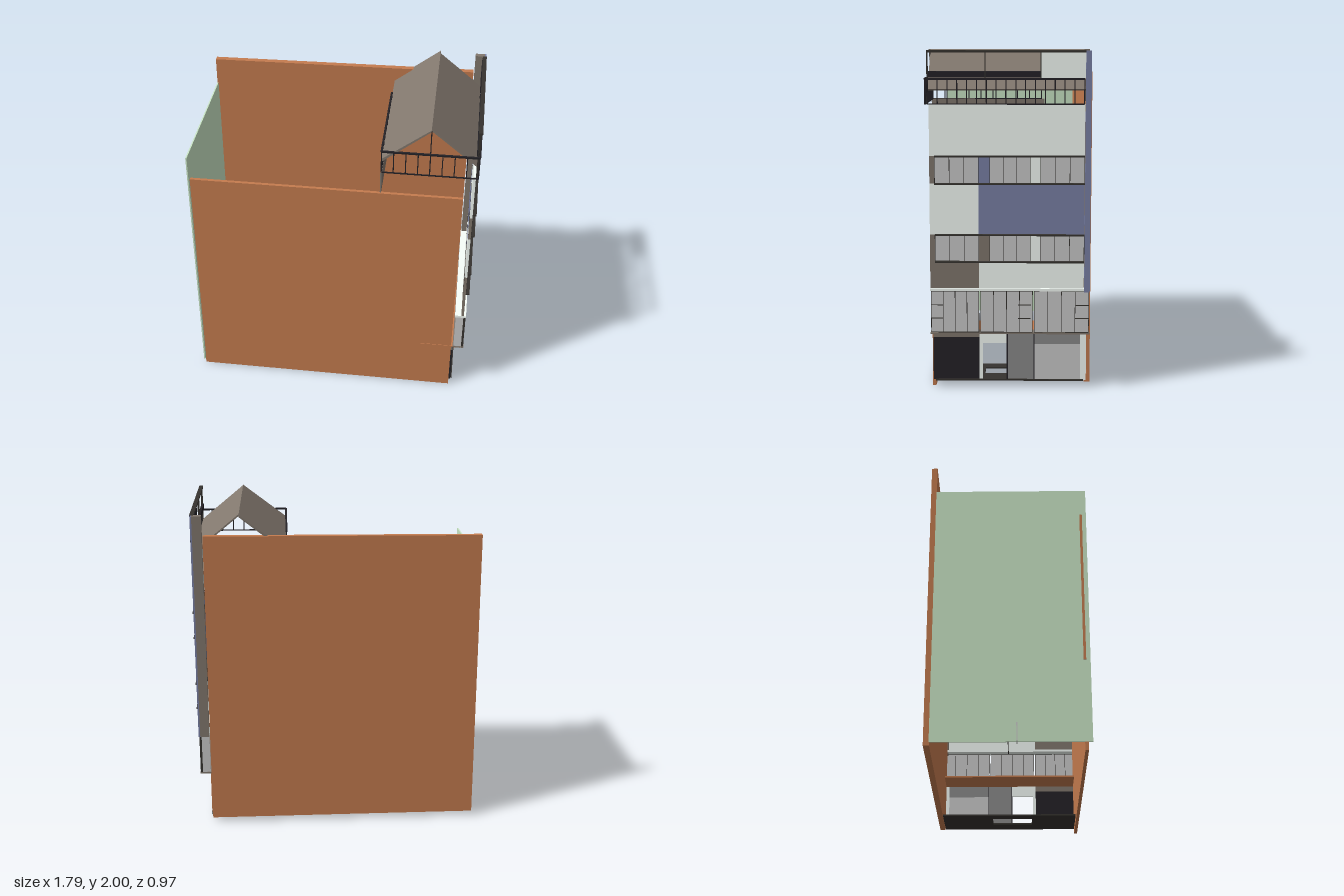
import * as THREE from 'three';

const C = {
  brick: 0xc57c4f, green: 0xcce8c8, white: 0xf8fffa, blue: 0x7b82a8, brown: 0x82786e,
  dark: 0x36332f, black: 0x242227, grey: 0x8c8c8c, glass: 0xcccccc,
};
const mats = {};
function mat(key) {
  mats[key] ??= new THREE.MeshStandardMaterial({ color: C[key] });
  return mats[key];
}

export function createModel() {
  const root = new THREE.Group();

  // Axis-aligned block given by its extents
  function block(name, key, x0, x1, y0, y1, z0, z1, parent = root) {
    const m = new THREE.Mesh(new THREE.BoxGeometry(x1 - x0, y1 - y0, z1 - z0), mat(key));
    m.position.set((x0 + x1) / 2, (y0 + y1) / 2, (z0 + z1) / 2);
    m.name = name;
    parent.add(m);
    return m;
  }
  function group(name) {
    const g = new THREE.Group();
    g.name = name;
    root.add(g);
    return g;
  }
  // Polygon in the x-y plane pulled along z
  function prism(name, key, pts, z0, z1) {
    const shape = new THREE.Shape(pts.map(p => new THREE.Vector2(...p)));
    const geo = new THREE.ExtrudeGeometry(shape, { depth: z1 - z0, bevelEnabled: false });
    const m = new THREE.Mesh(geo, mat(key));
    m.position.z = z0;
    m.name = name;
    root.add(m);
    return m;
  }

  // Party walls; the taller one splays outward toward the facade
  block('lowSideWall', 'brick', -0.855, 0.8, 0, 1.52, 0.43, 0.45);
  const tall = prism('tallSideWall', 'brick',
    [[-0.86, 0.03], [0.81, 0.03], [0.81, 1.875], [-0.86, 1.862]], -0.472, -0.437);
  const p = tall.geometry.attributes.position;
  for (let i = 0; i < p.count; i++) p.setZ(i, p.getZ(i) - 0.009 * (p.getX(i) + 0.86));
  tall.geometry.computeVertexNormals();

  // Rear end wall, with a brick strip and a small utility panel
  block('endWall', 'green', -0.861, -0.853, 0.05, 1.69, -0.44, 0.475);
  block('endWallStrip', 'brick', -0.864, -0.859, 0.55, 1.52, 0.435, 0.45);
  block('utilityPanel', 'glass', -0.905, -0.855, 0.04, 0.15, 0.048, 0.054);
  block('utilityBracket', 'dark', -0.88, -0.69, 0.04, 0.044, 0, 0.004);

  // Ground slab with an opening, and the slab over the entrance
  const slab = group('groundSlab');
  block('slabInner', 'dark', 0.5, 0.57, 0.035, 0.045, -0.45, 0.43, slab);
  block('slabOuter', 'dark', 0.7, 0.82, 0.035, 0.045, -0.45, 0.43, slab);
  block('slabSideA', 'dark', 0.57, 0.7, 0.035, 0.045, -0.45, -0.12, slab);
  block('slabSideB', 'dark', 0.57, 0.7, 0.035, 0.045, 0.14, 0.43, slab);
  block('entranceCeiling', 'brick', 0.59, 0.86, 0.335, 0.345, -0.46, 0.453);

  // Street level front
  const street = group('streetFront');
  block('shutter', 'black', 0.8, 0.812, 0.04, 0.3, 0.17, 0.445, street);
  block('shutterHead', 'brown', 0.8, 0.812, 0.3, 0.335, 0.17, 0.445, street);
  block('doorPost', 'white', 0.8, 0.815, 0.04, 0.335, 0.15, 0.17, street);
  block('doorHead', 'white', 0.8, 0.81, 0.265, 0.335, 0.005, 0.15, street);
  block('doorJamb', 'black', 0.8, 0.817, 0.04, 0.335, 0, 0.008, street);
  block('greyPanel', 'grey', 0.8, 0.812, 0.04, 0.335, -0.155, 0, street);
  block('panelEdge', 'black', 0.8, 0.815, 0.04, 0.335, -0.158, -0.152, street);
  block('garageDoor', 'glass', 0.8, 0.812, 0.04, 0.26, -0.43, -0.158, street);
  block('garageHead', 'grey', 0.8, 0.812, 0.26, 0.335, -0.43, -0.158, street);
  block('cornerPanel', 'white', 0.8, 0.815, 0.04, 0.335, -0.465, -0.43, street);
  block('cornerEdge', 'brick', 0.8, 0.815, 0.07, 0.335, -0.48, -0.468, street);

  // Glazed window with a dark frame: bars at the given number of divisions
  function windowUnit(name, x, y0, y1, z0, z1, panes) {
    const g = group(name), t = 0.003;
    block('pane', 'glass', x - 0.006, x, y0, y1, z0, z1, g);
    for (let i = 0; i <= panes; i++) {
      const z = z0 + (z1 - z0) * i / panes;
      block('mullion', 'dark', x - 0.008, x + 0.006, y0, y1, z - t / 2, z + t / 2, g);
    }
    for (const y of [y0, y1]) block('frameRail', 'dark', x - 0.008, x + 0.006, y - t, y + t, z0, z1, g);
    return g;
  }

  // Projecting glazed bay above the entrance
  const bays = [[0.17, 0.45, 4], [-0.145, 0.16, 4], [-0.475, -0.155, 4]];
  bays.forEach(([z0, z1, n], i) => windowUnit('bayWindow' + (i + 1), 0.872, 0.347, 0.597, z0, z1, n));
  for (const z of [-0.475, 0.445]) block('bayCheek', 'glass', 0.815, 0.872, 0.345, 0.6, z, z + 0.006);
  for (const [z0, z1] of [[0.38, 0.45], [-0.135, -0.06], [-0.475, -0.395]])
    for (const y of [0.43, 0.51]) block('bayTransom', 'dark', 0.87, 0.877, y, y + 0.004, z0, z1);
  block('baySill', 'brown', 0.81, 0.88, 0.338, 0.347, -0.48, 0.455);
  block('bayTop', 'white', 0.81, 0.88, 0.597, 0.612, -0.475, 0.455);

  // Upper facade bands
  const fx0 = 0.85, fx1 = 0.866;
  const wall = group('facade');
  const panel = (key, y0, y1, z0, z1) => block('facadePanel', key, fx0, fx1, y0, y1, z0, z1, wall);
  panel('brown', 0.61, 0.77, 0.17, 0.455);
  panel('white', 0.61, 0.77, -0.445, 0.17);
  panel('white', 0.93, 1.23, 0.17, 0.455);
  panel('blue', 0.93, 1.23, -0.445, 0.17);
  panel('white', 1.39, 1.69, -0.445, 0.455);

  // Two window rows with their piers and ledges
  for (const [y0, y1, pier] of [[0.77, 0.93, 'brown'], [1.23, 1.39, 'blue']]) {
    panel('brown', y0, y1, 0.425, 0.455);
    panel(pier, y0, y1, 0.105, 0.17);
    panel('white', y0, y1, -0.19, -0.13);
    windowUnit('windowLeft', 0.862, y0, y1, 0.17, 0.425, 3);
    windowUnit('windowMiddle', 0.862, y0, y1, -0.13, 0.105, 3);
    windowUnit('windowRight', 0.862, y0, y1, -0.445, -0.19, 3);
    for (const y of [y0, y1]) block('ledge', 'dark', 0.85, 0.89, y - 0.004, y + 0.004, -0.445, 0.425);
  }

  // Corner pillar: brown body with blue face
  block('cornerPillar', 'brown', 0.815, 0.872, 0.59, 1.995, -0.48, -0.447);
  block('pillarFace', 'blue', 0.872, 0.882, 0.59, 1.995, -0.48, -0.447);

  // Open frame crowning the facade
  const crown = group('crownFrame');
  block('topBar', 'dark', 0.86, 0.885, 1.985, 1.997, -0.447, 0.465, crown);
  block('lowerBeam', 'black', 0.86, 0.875, 1.842, 1.878, -0.19, 0.465, crown);
  block('crownPanel', 'white', 0.862, 0.875, 1.84, 1.985, -0.447, -0.19, crown);
  block('crownPanelBack', 'black', 0.858, 0.862, 1.84, 1.985, -0.447, -0.19, crown);
  block('endPost', 'dark', 0.865, 0.877, 1.69, 1.99, 0.457, 0.465, crown);
  for (const z of [0.13, -0.19]) block('post', 'dark', 0.865, 0.877, 1.84, 1.99, z - 0.003, z + 0.003, crown);

  // Railing between two plan points
  function railing(name, ax, az, bx, bz, count) {
    const g = group(name), len = Math.hypot(bx - ax, bz - az), t = 0.006;
    g.position.set(ax, 0, az);
    g.rotation.y = -Math.atan2(bz - az, bx - ax);
    block('topRail', 'black', 0, len, 1.83, 1.84, -t, t, g);
    block('bottomRail', 'black', 0, len, 1.688, 1.695, -t / 2, t / 2, g);
    for (let i = 0; i <= count; i++) {
      const x = len * i / count;
      block('baluster', 'black', x - t / 2, x + t / 2, 1.69, 1.835, -t / 2, t / 2, g);
    }
  }
  railing('streetRailing', 0.88, 0.46, 0.88, -0.44, 16);
  railing('sideRailing', 0.312, 0.475, 0.88, 0.475, 8);
  railing('rearRailing', 0.312, 0.475, 0.312, -0.2, 9);
  block('rearUpstand', 'brown', 0.308, 0.316, 1.55, 1.69, -0.22, 0.48);

  // Gable roof as two thin slopes meeting at the ridge
  prism('roofInnerSlope', 'brown',
    [[0.31, 1.772], [0.318, 1.77], [0.594, 1.988], [0.594, 2], [0.31, 1.782]], -0.482, 0.475);
  prism('roofStreetSlope', 'brown',
    [[0.594, 1.988], [0.862, 1.768], [0.866, 1.776], [0.594, 2]], -0.45, 0.462);
  block('ridgePost', 'black', 0.592, 0.598, 1.69, 1.99, 0.46, 0.466);

  return root;
}
